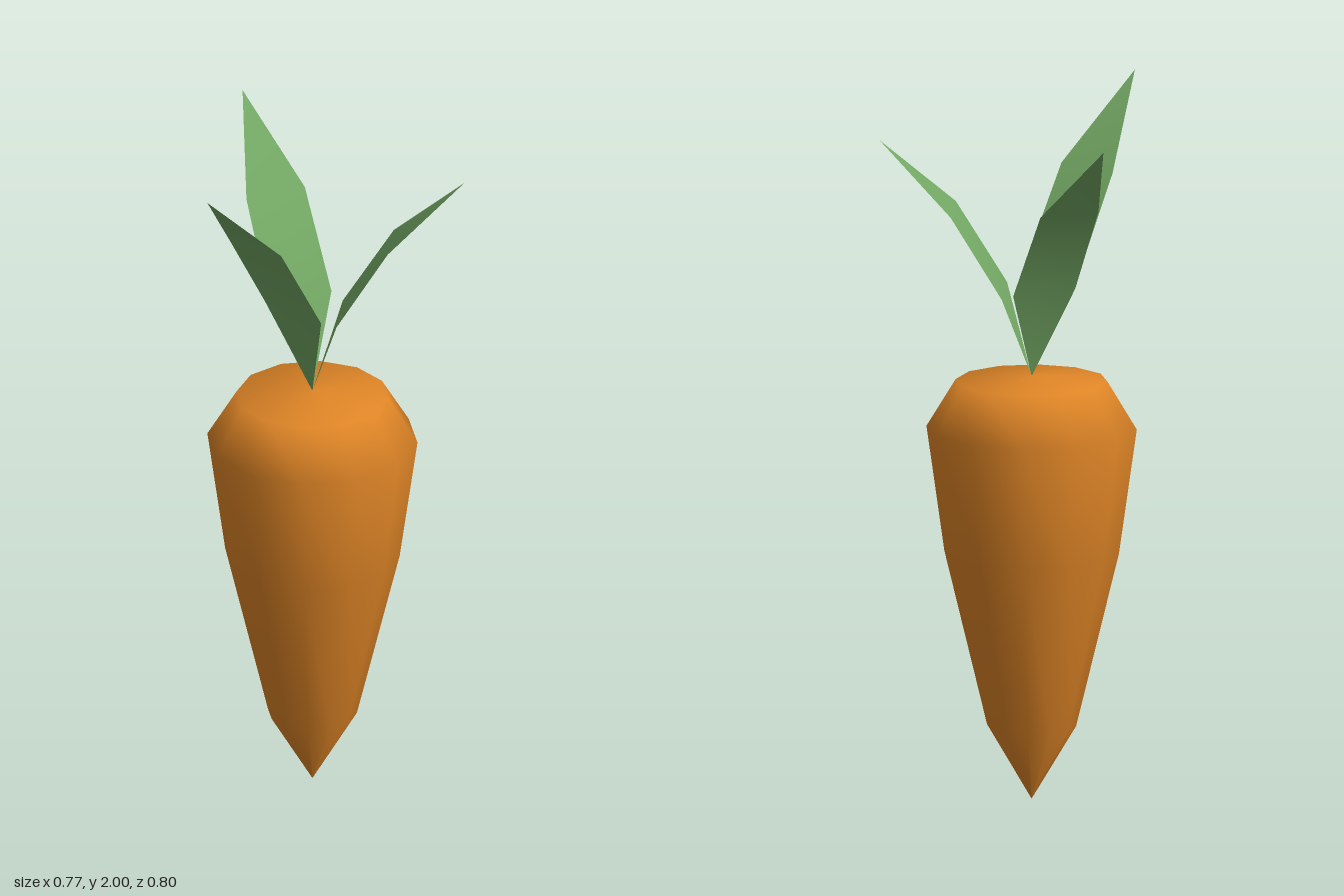
import * as THREE from 'three';

const AXIS = { x: 0.018, z: -0.105 };

// Leaf blade: base, two pairs of side corners, tip
function makeLeaf(name, points, material) {
  const geometry = new THREE.BufferGeometry();
  geometry.setAttribute('position', new THREE.Float32BufferAttribute(points.flat(), 3));
  geometry.setIndex([0, 2, 1, 1, 2, 4, 1, 4, 3, 3, 4, 5]);
  geometry.computeVertexNormals();
  const leaf = new THREE.Mesh(geometry, material);
  leaf.name = name;
  return leaf;
}

export function createModel() {
  const model = new THREE.Group();
  model.name = 'carrot';

  const orange = new THREE.MeshStandardMaterial({ color: 0xdd8426 });
  orange.name = 'carrot orange';
  const green = new THREE.MeshStandardMaterial({ color: 0x73a864, side: THREE.DoubleSide });
  green.name = 'leaf green';

  // Twelve-sided root tapering to a point
  const profile = [
    [0, 0.005], [0.125, 0.215], [0.245, 0.71], [0.295, 1.065], [0.213, 1.2], [0, 1.215],
  ].map(([r, y]) => new THREE.Vector2(r, y));
  const root = new THREE.Mesh(new THREE.LatheGeometry(profile, 12), orange);
  root.name = 'root';
  root.position.set(AXIS.x, 0, AXIS.z);
  model.add(root);

  // Three leaves fanning out from the crown
  const base = [AXIS.x, 1.212, AXIS.z];
  const leaves = {
    frontLeaf: [
      [0.113, 1.485, -0.015], [-0.078, 1.5, -0.012],
      [0.105, 1.765, 0.165], [-0.072, 1.755, 0.16], [0.018, 2, 0.398],
    ],
    rightLeaf: [
      [-0.103, 1.47, -0.065], [-0.008, 1.465, -0.232],
      [-0.238, 1.72, -0.145], [-0.15, 1.72, -0.302], [-0.388, 1.94, -0.335],
    ],
    leftLeaf: [
      [0.035, 1.45, -0.227], [0.132, 1.46, -0.062],
      [0.163, 1.68, -0.293], [0.252, 1.69, -0.14], [0.386, 1.88, -0.322],
    ],
  };
  for (const [name, points] of Object.entries(leaves)) {
    model.add(makeLeaf(name, [base, ...points], green));
  }

  return model;
}
